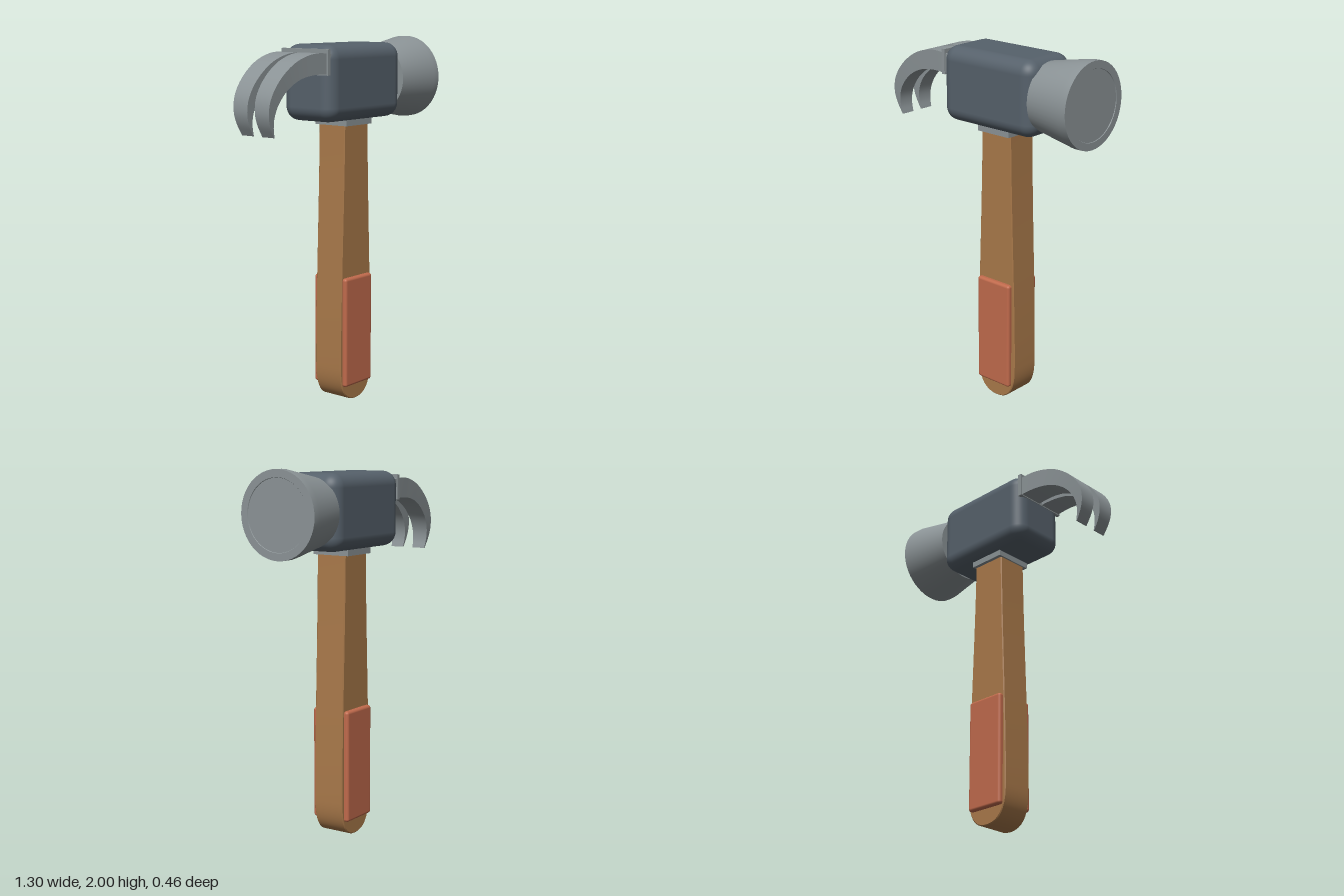
import * as THREE from 'three';
import { toCreasedNormals } from 'three/addons/utils/BufferGeometryUtils.js';
import { RoundedBoxGeometry } from 'three/addons/geometries/RoundedBoxGeometry.js';

const paint = (color) => new THREE.MeshStandardMaterial({ color });
const V = (x, y) => new THREE.Vector3(x, y, 0);

// One curved, tapering claw: rectangular sections between an outer and an inner curve
function clawGeometry(side) {
  const outer = new THREE.CatmullRomCurve3([
    V(-0.2, 1.93), V(-0.3, 1.937), V(-0.38, 1.926), V(-0.48, 1.888), V(-0.58, 1.81),
    V(-0.637, 1.725), V(-0.65, 1.65), V(-0.637, 1.59), V(-0.603, 1.525)]);
  const inner = new THREE.CatmullRomCurve3([
    V(-0.2, 1.822), V(-0.28, 1.828), V(-0.36, 1.824), V(-0.44, 1.805), V(-0.52, 1.76),
    V(-0.58, 1.695), V(-0.607, 1.63), V(-0.609, 1.575), V(-0.597, 1.525)]);
  const n = 32, pos = [], index = [];
  for (let i = 0; i <= n; i++) {
    const t = i / n, o = outer.getPoint(t), p = inner.getPoint(t);
    const near = side * (0.008 + 0.024 * t), far = side * (0.154 - 0.044 * t);
    const a = Math.min(near, far), b = Math.max(near, far);
    pos.push(o.x, o.y, a, o.x, o.y, b, p.x, p.y, b, p.x, p.y, a);
    if (i === n) break;
    for (let k = 0; k < 4; k++) {
      const q = i * 4 + k, r = i * 4 + (k + 1) % 4;
      index.push(q, q + 4, r + 4, q, r + 4, r);
    }
  }
  const e = n * 4;
  index.push(0, 1, 2, 0, 2, 3, e, e + 2, e + 1, e, e + 3, e + 2);
  const g = new THREE.BufferGeometry();
  g.setAttribute('position', new THREE.Float32BufferAttribute(pos, 3));
  g.setIndex(index);
  return toCreasedNormals(g, 0.7);
}

// Flat-sided handle, widening downwards to a rounded butt
function handleGeometry() {
  const s = new THREE.Shape();
  s.moveTo(-0.095, 1.6);
  s.bezierCurveTo(-0.1, 1.1, -0.132, 0.55, -0.13, 0.2);
  s.bezierCurveTo(-0.13, 0.07, -0.09, 0.005, 0, 0.005);
  s.bezierCurveTo(0.09, 0.005, 0.13, 0.07, 0.13, 0.2);
  s.bezierCurveTo(0.132, 0.55, 0.1, 1.1, 0.095, 1.6);
  s.closePath();
  const g = new THREE.ExtrudeGeometry(s, {
    depth: 0.17, curveSegments: 16, bevelSize: 0.005, bevelThickness: 0.005, bevelSegments: 1 });
  g.translate(0.08, 0, -0.085);
  return toCreasedNormals(g, 0.6);
}

export function createModel() {
  const model = new THREE.Group();
  const steel = paint(0x8b9396), dark = paint(0x56616b), wood = paint(0xa9794a), red = paint(0xc06a4c);
  const add = (name, geometry, material, x = 0, y = 0, z = 0) => {
    const m = new THREE.Mesh(geometry, material);
    m.name = name;
    m.position.set(x, y, z);
    model.add(m);
  };

  add('handle', handleGeometry(), wood);

  // Grip pads on both broad faces
  for (const s of [1, -1])
    add(s > 0 ? 'frontGrip' : 'backGrip', new RoundedBoxGeometry(0.23, 0.615, 0.06, 3, 0.015), red, 0.078, 0.397, s * 0.085);

  // Head block and the collar below it
  add('collar', new THREE.BoxGeometry(0.215, 0.08, 0.22), steel, 0.078, 1.58, 0);
  add('headBlock', new RoundedBoxGeometry(0.625, 0.405, 0.344, 6, 0.075), dark, 0.073, 1.774, 0);

  // Flared striking face, turned about x
  const profile = [[0, 0.37], [0.185, 0.37], [0.228, 0.605], [0.228, 0.648], [0.188, 0.648], [0.186, 0.645], [0, 0.645]];
  const striker = new THREE.LatheGeometry(profile.map(([r, h]) => new THREE.Vector2(r, h)), 48);
  striker.rotateZ(-Math.PI / 2);
  add('strikingFace', toCreasedNormals(striker, 0.35), steel, 0, 1.774, 0);

  // Split claw and its base plate
  add('clawPlate', new THREE.BoxGeometry(0.022, 0.135, 0.32), steel, -0.232, 1.888, 0);
  add('leftClaw', clawGeometry(1), steel);
  add('rightClaw', clawGeometry(-1), steel);

  return model;
}
